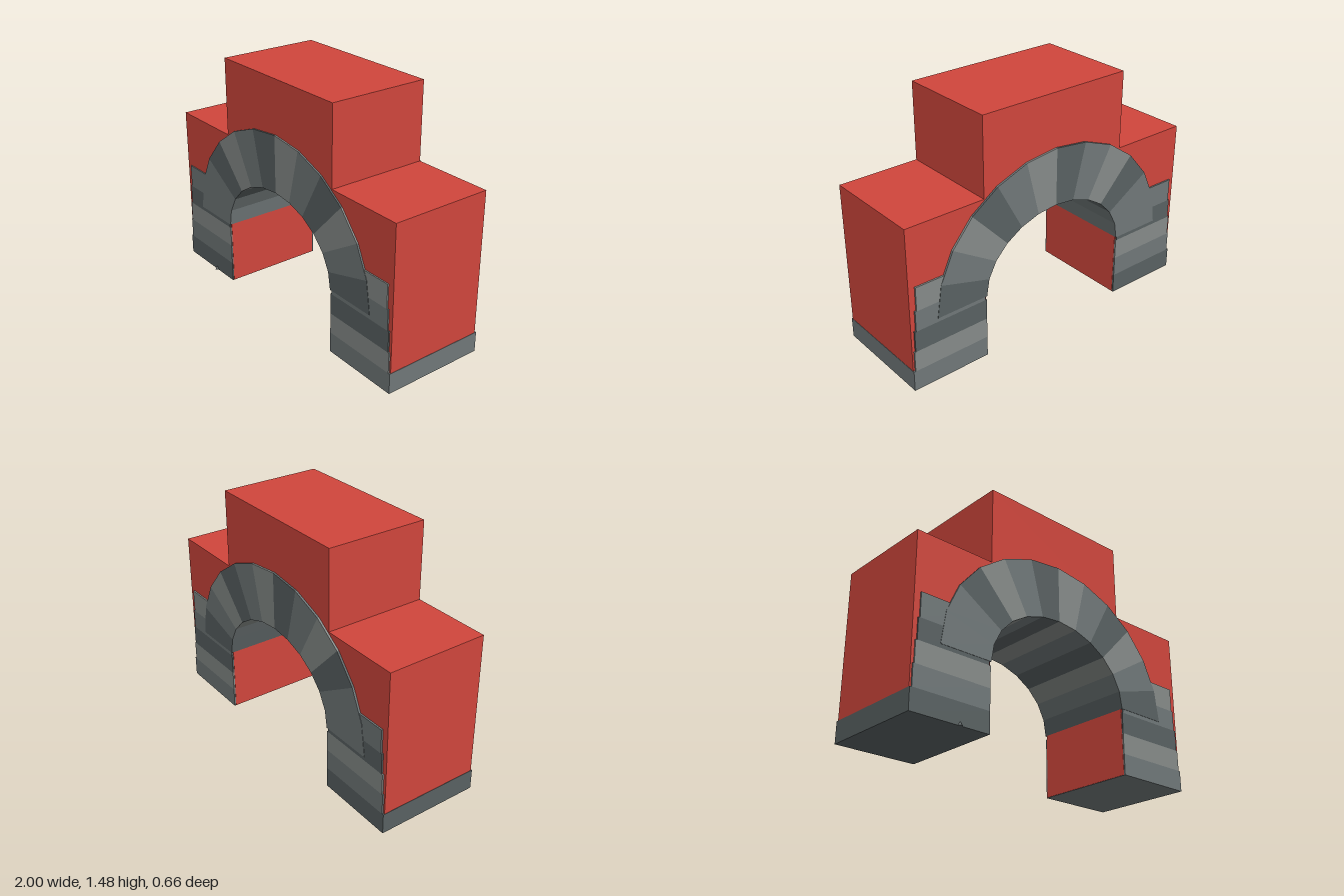
import * as THREE from 'three';

const RED = 0xd0463c, DARK = 0x596162, MID = 0x707879, LIGHT = 0x868b89;
const SPRING = 0.4; // height where the arch begins

const material = (color) => new THREE.MeshStandardMaterial({ color, flatShading: true });

// Point on an ellipse centred on the springing line
const onArch = (rx, ry, a) => [rx * Math.cos(a), SPRING + ry * Math.sin(a)];

// Flat outline pushed from z0 to z1
function slab(name, points, z0, z1, color) {
  const shape = new THREE.Shape(points.map(([x, y]) => new THREE.Vector2(x, y)));
  const geometry = new THREE.ExtrudeGeometry(shape, { depth: z1 - z0, bevelEnabled: false });
  geometry.translate(0, 0, z0);
  const mesh = new THREE.Mesh(geometry, material(color));
  mesh.name = name;
  return mesh;
}

export function createModel() {
  const model = new THREE.Group();
  model.name = 'archway';

  // Stepped red wall with the arched opening cut out
  const opening = [];
  for (let i = 0; i <= 12; i++) opening.push(onArch(0.51, 0.41, Math.PI * (1 - i / 12)));
  const e = 0.002, w = 0.998;
  model.add(slab('wall', [
    [-w, e], [-0.5, e], [-0.5, SPRING], ...opening, [0.5, SPRING], [0.5, e], [w, e],
    [w, 1], [0.5, 1], [0.5, 1.475], [-0.5, 1.475], [-0.5, 1], [-w, 1],
  ], -0.32, 0.308, RED));

  // Wedge stones of the arch, running from the left side over the top
  const arch = new THREE.Group();
  arch.name = 'archStones';
  const wedgeColors = [DARK, MID, LIGHT, DARK, MID, LIGHT, DARK, MID, LIGHT, DARK, MID, MID];
  wedgeColors.forEach((color, i) => {
    const a = Math.PI * i / 12, b = Math.PI * (i + 1) / 12;
    arch.add(slab('wedgeStone', [
      onArch(0.5, 0.4, a), onArch(0.83, 0.75, a), onArch(0.83, 0.75, b), onArch(0.5, 0.4, b),
    ], -0.332, 0.318, color));
  });
  model.add(arch);

  // Stacked pier stones, each course slightly narrower than the one below
  const heights = [0, 0.125, 0.25, 0.377, 0.502, 0.647];
  const widths = [1, 0.988, 0.98, 0.97, 0.96];
  const pierColors = { 1: [MID, LIGHT, DARK, MID, LIGHT], '-1': [DARK, MID, LIGHT, DARK, MID] };
  for (const side of [1, -1]) {
    const pier = new THREE.Group();
    pier.name = side > 0 ? 'leftPier' : 'rightPier';
    widths.forEach((outer, i) => {
      const inner = [0.502, 0.502, 0.502, 0.51, 0.6][i];
      const height = heights[i + 1] - heights[i];
      const stone = new THREE.Mesh(
        new THREE.BoxGeometry(outer - inner, height, 0.646), material(pierColors[side][i]));
      stone.position.set(side * (outer + inner) / 2, heights[i] + height / 2, -0.007);
      stone.name = 'pierStone';
      pier.add(stone);
    });
    model.add(pier);
  }

  // Tiny chip at the foot of the right pier
  const chip = new THREE.Mesh(new THREE.ConeGeometry(0.02, 0.03, 4), material(DARK));
  chip.position.set(-0.69, 0.015, 0.312);
  chip.name = 'footChip';
  model.add(chip);

  return model;
}
